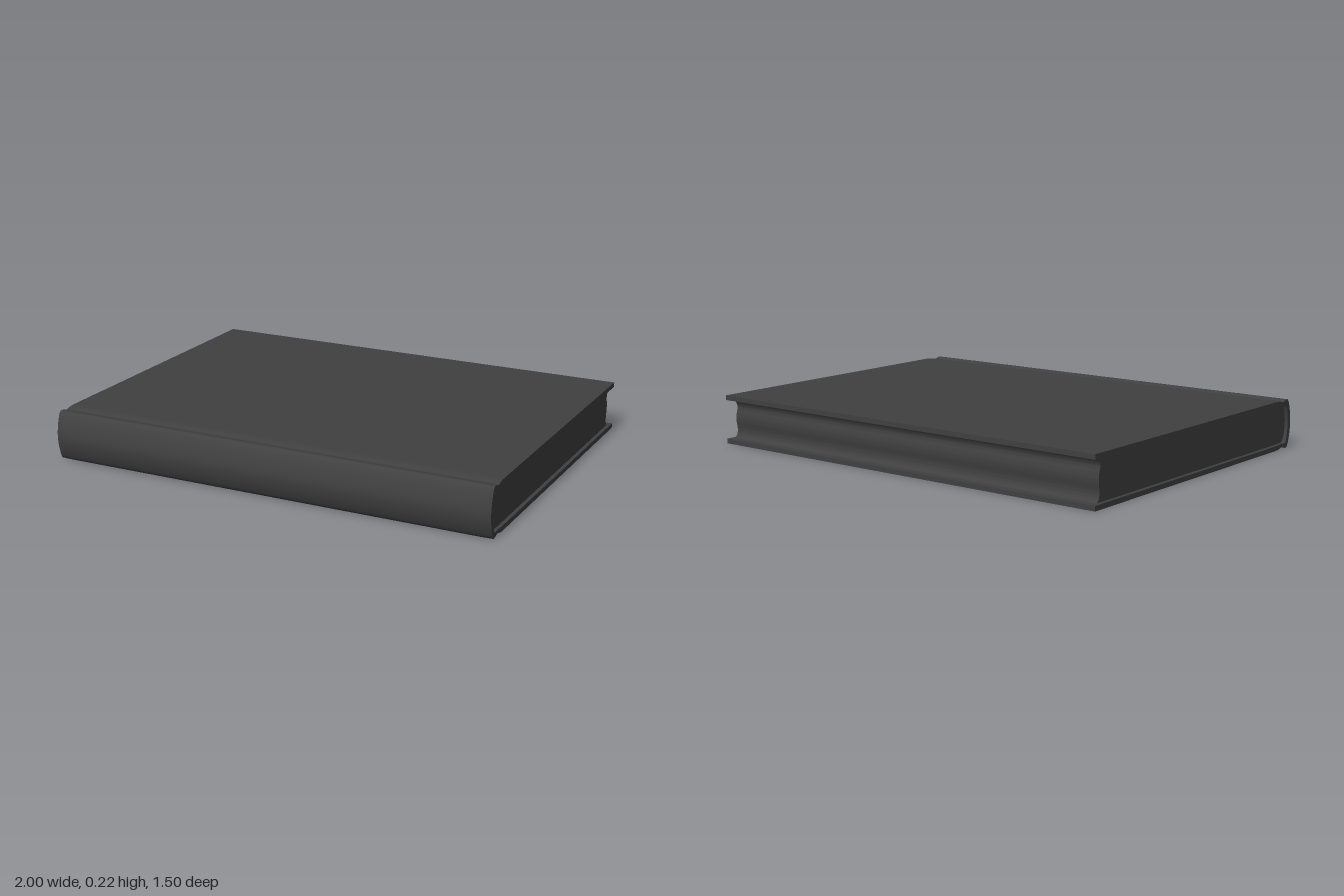
import * as THREE from 'three';
import { toCreasedNormals } from 'three/addons/utils/BufferGeometryUtils.js';

const MID = 0.1085; // half of the book's thickness
const material = new THREE.MeshStandardMaterial({ color: 0x404040 });

// Smooth run through [z, height above the middle] points, mirrored below the middle
function mirroredCurve(half, divisions) {
  const lower = half.slice(0, -1).reverse().map(([z, h]) => [z, -h]);
  const points = [...half, ...lower].map(([z, h]) => new THREE.Vector2(z, MID + h));
  return new THREE.SplineCurve(points).getPoints(divisions);
}

// Sweep a (z, y) section along x, pulling in the rounded spine at both ends
function sweep(name, points, halfLength, pull) {
  let geometry = new THREE.ExtrudeGeometry(new THREE.Shape(points), {
    depth: 2 * halfLength, steps: 4, bevelEnabled: false,
  });
  geometry.translate(0, 0, -halfLength);
  geometry.rotateY(-Math.PI / 2);
  const p = geometry.attributes.position;
  for (let i = 0; i < p.count; i++) {
    const t = Math.abs(p.getX(i)) / halfLength;
    if (t > 0.4 && t < 0.6) p.setX(i, Math.sign(p.getX(i)) * 0.95 * halfLength);
    if (t > 0.9) {
      const bulge = Math.max(0, (p.getZ(i) - 0.7) / 0.05);
      p.setZ(i, p.getZ(i) - pull * bulge);
    }
  }
  geometry = toCreasedNormals(geometry, 0.6);
  const mesh = new THREE.Mesh(geometry, material);
  mesh.name = name;
  return mesh;
}

export function createModel() {
  const book = new THREE.Group();
  book.name = 'book';

  // Hard cover: two boards, shallow hinge grooves and a rounded spine
  const outer = mirroredCurve([
    [0.56, 0.1085], [0.63, 0.1075], [0.665, 0.1], [0.69, 0.1065], [0.708, 0.1075],
    [0.724, 0.094], [0.742, 0.05], [0.75, 0],
  ], 56);
  const inner = mirroredCurve([
    [0.56, 0.0875], [0.63, 0.0865], [0.665, 0.084], [0.69, 0.086],
    [0.704, 0.075], [0.715, 0.04], [0.72, 0],
  ], 48).reverse();
  const edge = (h) => new THREE.Vector2(-0.75, MID + h);
  book.add(sweep('cover', [
    edge(0.1085), ...outer, edge(-0.1085), edge(-0.0875), ...inner, edge(0.0875),
  ], 1, 0.012));

  // Page block: rounded at the spine, gently wavy hollow at the fore edge
  const back = mirroredCurve([[0.67, 0.086], [0.695, 0.078], [0.71, 0.045], [0.716, 0]], 24);
  const foreEdge = new THREE.SplineCurve([
    [-0.716, 0.022], [-0.704, 0.035], [-0.699, 0.06], [-0.705, 0.1],
    [-0.703, 0.13], [-0.696, 0.158], [-0.704, 0.182], [-0.716, 0.195],
  ].map(([z, y]) => new THREE.Vector2(z, y))).getPoints(28);
  book.add(sweep('pages', [...back, ...foreEdge], 0.985, 0));

  return book;
}
